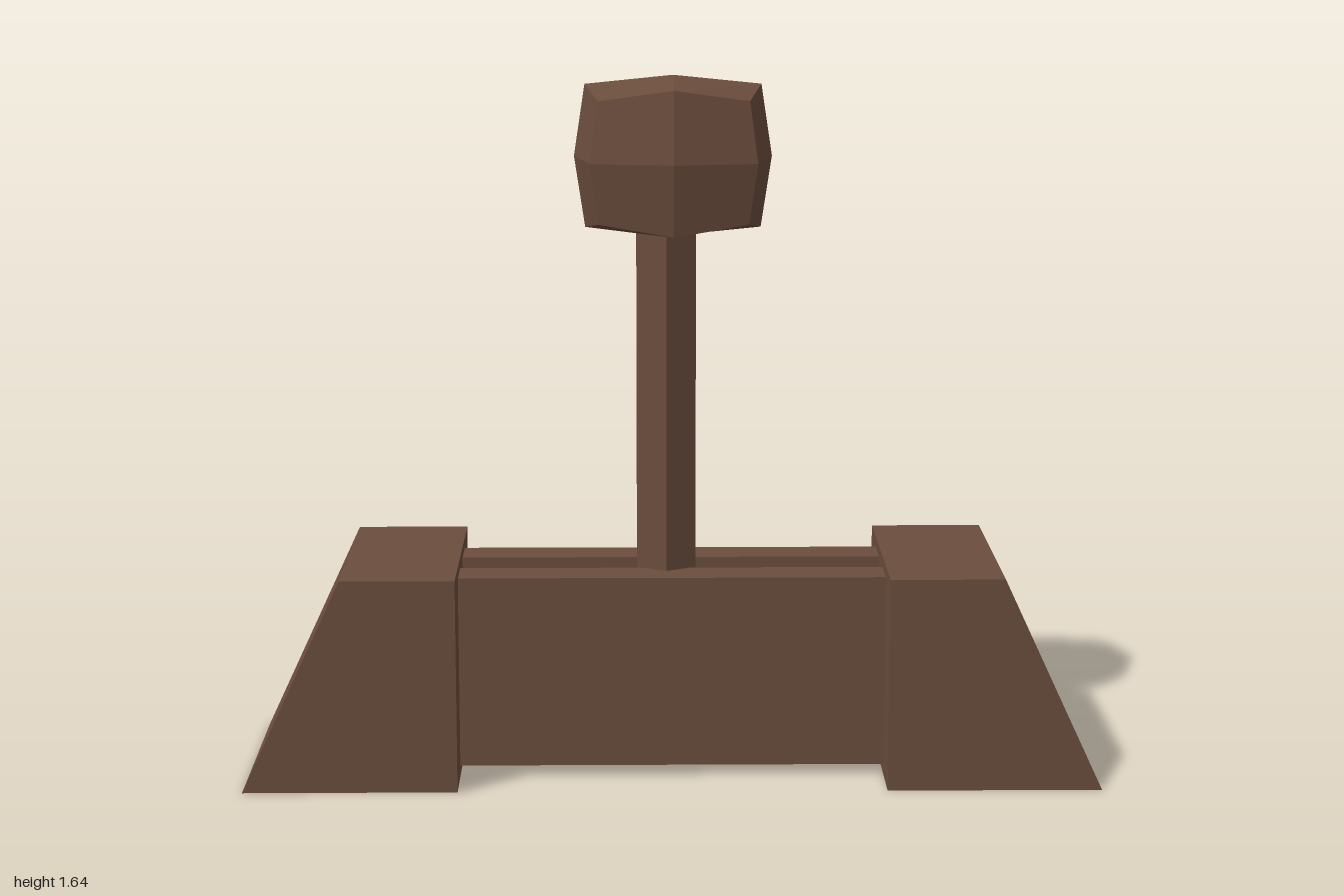
import * as THREE from 'three';

export function createModel() {
  const model = new THREE.Group();
  const brown = new THREE.MeshStandardMaterial({ color: 0x6b4d3d, flatShading: true });
  brown.name = 'brown';

  const add = (name, geometry, x = 0, y = 0, z = 0) => {
    const mesh = new THREE.Mesh(geometry, brown);
    mesh.name = name;
    mesh.position.set(x, y, z);
    model.add(mesh);
    return mesh;
  };

  // Sloped end blocks, one turned to mirror the other
  const profile = new THREE.Shape([[0.5, 0], [1, 0], [0.765, 0.505], [0.5, 0.505]]
    .map(([x, y]) => new THREE.Vector2(x, y)));
  const block = new THREE.ExtrudeGeometry(profile, { depth: 0.55, bevelEnabled: false });
  block.translate(0, 0, -0.275);
  add('leftEndBlock', block);
  add('rightEndBlock', block).rotation.y = Math.PI;

  // Two parallel rails with a slot between them
  const rail = new THREE.BoxGeometry(1, 0.455, 0.1);
  add('frontRail', rail, 0, 0.2525, 0.1);
  add('backRail', rail, 0, 0.2525, -0.105);

  // Hexagonal lever shaft, reaching down into the slot
  add('leverShaft', new THREE.CylinderGeometry(0.08, 0.08, 1.1, 6), -0.0125, 0.85, 0.003);

  // Faceted knob: a cube split 2x2 per face, with edges and corners pulled in
  const knob = new THREE.BoxGeometry(2, 2, 2, 2, 2, 2);
  const pos = knob.attributes.position;
  const v = new THREE.Vector3();
  const half = new THREE.Vector3(0.23, 0.187, 0.22);
  for (let i = 0; i < pos.count; i++) {
    v.fromBufferAttribute(pos, i).round();
    const nonZero = Math.abs(v.x) + Math.abs(v.y) + Math.abs(v.z);
    const pull = nonZero === 3 ? 0.75 : nonZero === 1 ? 1 : v.y === 0 ? 0.83 : 0.89;
    v.multiply(half).multiplyScalar(pull);
    pos.setXYZ(i, v.x, v.y, v.z);
  }
  knob.computeVertexNormals();
  add('leverKnob', knob, 0.004, 1.451, -0.007);

  return model;
}
